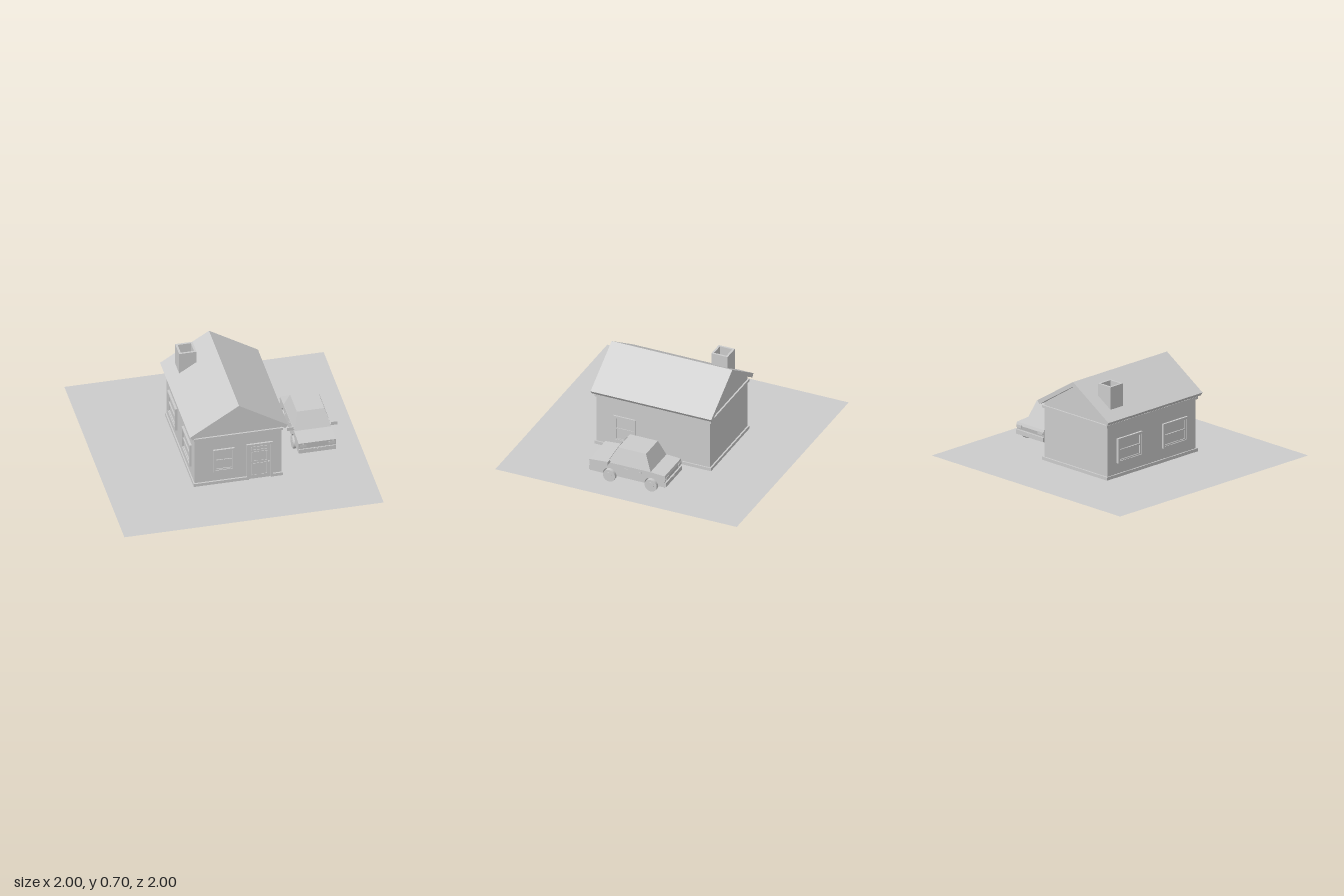
import * as THREE from 'three';

const grey = new THREE.MeshStandardMaterial({ color: 0xcccccc, side: THREE.DoubleSide });

function add(parent, name, geometry) {
  const mesh = new THREE.Mesh(geometry, grey);
  mesh.name = name;
  parent.add(mesh);
  return mesh;
}

// Box given by its minimum and maximum corners
function box(parent, name, [x0, y0, z0], [x1, y1, z1]) {
  const g = new THREE.BoxGeometry(x1 - x0, y1 - y0, z1 - z0);
  g.translate((x0 + x1) / 2, (y0 + y1) / 2, (z0 + z1) / 2);
  return add(parent, name, g);
}

function polygon(points) {
  return new THREE.Shape(points.map(([x, y]) => new THREE.Vector2(x, y)));
}

function rectangle(w, h) {
  return polygon([[-w / 2, -h / 2], [w / 2, -h / 2], [w / 2, h / 2], [-w / 2, h / 2]]);
}

function extrude(shape, depth) {
  return new THREE.ExtrudeGeometry(shape, { depth, bevelEnabled: false, curveSegments: 12 });
}

// Rectangular ring, centred on the origin, rising along +z
function ring(w, h, border, depth) {
  const shape = rectangle(w, h);
  shape.holes.push(rectangle(w - 2 * border, h - 2 * border));
  return extrude(shape, depth);
}

// Window facing +z, its back on z = 0
function makeWindow(name, w, h, depth, splitTop) {
  const win = new THREE.Group();
  win.name = name;
  add(win, 'windowFrame', ring(w, h, 0.015, depth));
  add(win, 'windowSash', ring(w - 0.03, h - 0.03, 0.009, depth * 0.6));
  box(win, 'windowPane', [-w / 2 + 0.02, -h / 2 + 0.02, 0], [w / 2 - 0.02, h / 2 - 0.02, 0.003]);
  box(win, 'windowRail', [-w / 2 + 0.015, -0.006, 0], [w / 2 - 0.015, 0.006, depth * 0.7]);
  if (splitTop) box(win, 'windowMullion', [-0.005, 0, 0], [0.005, h / 2 - 0.015, depth * 0.6]);
  return win;
}

function makeDoor() {
  const door = new THREE.Group();
  door.name = 'door';
  const frame = polygon([[-0.1, 0], [-0.085, 0], [-0.085, 0.28], [0.085, 0.28],
    [0.085, 0], [0.1, 0], [0.1, 0.32], [-0.1, 0.32]].map(([x, y]) => [x, y === 0.28 ? 0.305 : y]));
  add(door, 'doorFrame', extrude(frame, 0.015));
  box(door, 'doorLeaf', [-0.085, 0, 0], [0.085, 0.305, 0.005]);
  for (const s of [-1, 1]) {
    for (const [y, h] of [[0.085, 0.11], [0.2, 0.09]]) {
      add(door, 'doorPanel', ring(0.055, h, 0.007, 0.009)).position.set(s * 0.034, y, 0);
    }
  }
  add(door, 'doorLight', ring(0.13, 0.034, 0.006, 0.009)).position.set(0, 0.275, 0);
  add(door, 'doorKnob', new THREE.SphereGeometry(0.008, 12, 8)).position.set(0.071, 0.145, 0.013);
  return door;
}

function makeHouse() {
  const house = new THREE.Group();
  house.name = 'house';

  // Walls with gables
  const wall = polygon([[-0.335, 0], [0.335, 0], [0.335, 0.455], [0, 0.668], [-0.335, 0.455]]);
  add(house, 'walls', extrude(wall, 0.94)).position.z = -0.47;

  // Plinth with a gap for the door, and the band under the eaves
  box(house, 'plinthBack', [-0.345, 0, -0.483], [0.345, 0.025, -0.465]);
  box(house, 'plinthFront', [-0.345, 0, 0.465], [0.065, 0.025, 0.483]);
  box(house, 'plinthFront', [0.265, 0, 0.465], [0.345, 0.025, 0.483]);
  for (const s of [-1, 1]) {
    box(house, 'plinthSide', [s * 0.338 - 0.007, 0, -0.483], [s * 0.338 + 0.007, 0.025, 0.483]);
  }
  box(house, 'eavesBand', [-0.345, 0.415, -0.483], [0.345, 0.435, 0.483]);

  // Roof slabs meeting at the ridge
  const roof = polygon([[0, 0.705], [-0.378, 0.47], [-0.358, 0.443], [0, 0.668], [0.358, 0.443], [0.378, 0.47]]);
  add(house, 'roof', extrude(roof, 1.0)).position.z = -0.5;

  // Hollow chimney
  const chimney = add(house, 'chimney', ring(0.134, 0.134, 0.016, 0.205));
  chimney.rotation.x = -Math.PI / 2;
  chimney.position.set(-0.22, 0.5, -0.322);

  // Openings
  const front = makeWindow('frontWindow', 0.165, 0.2, 0.015, true);
  front.position.set(-0.112, 0.21, 0.47);
  house.add(front);
  for (const z of [-0.24, 0.24]) {
    const win = makeWindow('rightHandSideWindow', 0.26, 0.195, 0.018, false);
    win.name = 'leftmostSideWindow';
    win.rotation.y = -Math.PI / 2;
    win.position.set(-0.335, 0.208, z);
    house.add(win);
  }
  const side = makeWindow('drivewaySideWindow', 0.185, 0.218, 0.012, false);
  side.rotation.y = Math.PI / 2;
  side.position.set(0.335, 0.176, 0.235);
  house.add(side);
  const door = makeDoor();
  door.position.set(0.165, 0, 0.47);
  house.add(door);
  return house;
}

// Flat pane on a quad face (corners in loop order), between u0..u1 and v0..v1, lifted off the face
function pane(parent, name, [a, b, c, d], u0, u1, v0, v1) {
  const [A, B, C, D] = [a, b, c, d].map((p) => new THREE.Vector3(...p));
  const lift = B.clone().sub(A).cross(D.clone().sub(A)).normalize().multiplyScalar(0.003);
  const at = (u, v) => A.clone().lerp(B, u).lerp(D.clone().lerp(C, u), v).add(lift);
  const g = new THREE.BufferGeometry().setFromPoints([at(u0, v0), at(u1, v0), at(u1, v1), at(u0, v1)]);
  g.setIndex([0, 1, 2, 0, 2, 3]);
  g.computeVertexNormals();
  add(parent, name, g);
}

function makeCar() {
  const car = new THREE.Group();
  car.name = 'car';
  const wheelZ = [-0.195, 0.15];

  // Side profile (z, y) with wheel arches, extruded across the width
  const s = new THREE.Shape();
  s.moveTo(-0.305, 0.055);
  for (const z of wheelZ) {
    s.lineTo(z - 0.056, 0.055);
    s.absarc(z, 0.055, 0.056, Math.PI, 0, true);
  }
  [[0.315, 0.055], [0.315, 0.1], [0.32, 0.148], [0.17, 0.16], [-0.19, 0.16], [-0.305, 0.152],
    [-0.312, 0.13], [-0.305, 0.1]].forEach(([z, y]) => s.lineTo(z, y));
  const body = extrude(s, 0.288);
  body.translate(0, 0, -0.144);
  body.rotateY(-Math.PI / 2);
  add(car, 'carBody', body);

  // Cabin: a box whose corners taper to the roof
  const corner = (sx, sy, sz) => (sy > 0
    ? [sx * 0.106, 0.285, sz > 0 ? 0.097 : -0.133]
    : [sx * 0.143, 0.155, sz > 0 ? 0.17 : -0.19]);
  const cabin = new THREE.BoxGeometry(2, 2, 2);
  const p = cabin.attributes.position;
  for (let i = 0; i < p.count; i++) p.setXYZ(i, ...corner(p.getX(i), p.getY(i), p.getZ(i)));
  cabin.computeVertexNormals();
  add(car, 'cabin', cabin);

  // Glass
  for (const f of [-1, 1]) {
    const end = [corner(-f, -1, f), corner(f, -1, f), corner(f, 1, f), corner(-f, 1, f)];
    pane(car, f > 0 ? 'windscreen' : 'rearGlass', end, 0.05, 0.95, 0.08, 0.94);
    const flank = [corner(f, -1, f), corner(f, -1, -f), corner(f, 1, -f), corner(f, 1, f)];
    pane(car, 'sideGlass', flank, 0.07, 0.48, 0.1, 0.92);
    pane(car, 'sideGlass', flank, 0.52, 0.93, 0.1, 0.92);
  }

  // Bumpers, lamps and plates at both ends
  for (const f of [-1, 1]) {
    const end = new THREE.Group();
    end.name = f > 0 ? 'carFront' : 'carRear';
    box(end, 'bumper', [-0.144, 0.06, 0.3], [0.144, 0.095, 0.323]);
    box(end, 'plate', [-0.03, 0.07, 0.32], [0.03, 0.088, 0.325]);
    for (const x of [-0.11, 0.11]) box(end, 'lamp', [x - 0.025, 0.112, 0.3], [x + 0.025, 0.135, 0.321]);
    if (f < 0) {
      end.rotation.y = Math.PI;
      end.position.z = 0.006;
    }
    car.add(end);
  }

  // Wheels, mirrors and door handles, mirrored
  for (const side of [-1, 1]) {
    for (const z of wheelZ) {
      const wheel = add(car, 'wheel', new THREE.CylinderGeometry(0.05, 0.05, 0.034, 24));
      wheel.rotation.z = Math.PI / 2;
      wheel.position.set(side * 0.14, 0.05, z);
      const hub = add(car, 'hub', new THREE.CylinderGeometry(0.027, 0.027, 0.038, 16));
      hub.rotation.z = Math.PI / 2;
      hub.position.copy(wheel.position);
    }
    const mirror = add(car, 'wingMirror', new THREE.BoxGeometry(0.05, 0.028, 0.01));
    mirror.position.set(side * 0.17, 0.175, 0.15);
    const arm = add(car, 'mirrorArm', new THREE.BoxGeometry(0.03, 0.01, 0.008));
    arm.position.set(side * 0.14, 0.167, 0.15);
    for (const z of [-0.1, 0.015]) {
      add(car, 'doorHandle', new THREE.BoxGeometry(0.005, 0.006, 0.025)).position.set(side * 0.145, 0.135, z);
    }
  }
  car.position.set(0.646, 0, 0);
  return car;
}

export function createModel() {
  const model = new THREE.Group();
  model.name = 'houseWithCar';
  const ground = add(model, 'lawn', new THREE.PlaneGeometry(2, 2));
  ground.rotation.x = -Math.PI / 2;
  model.add(makeHouse(), makeCar());
  return model;
}
